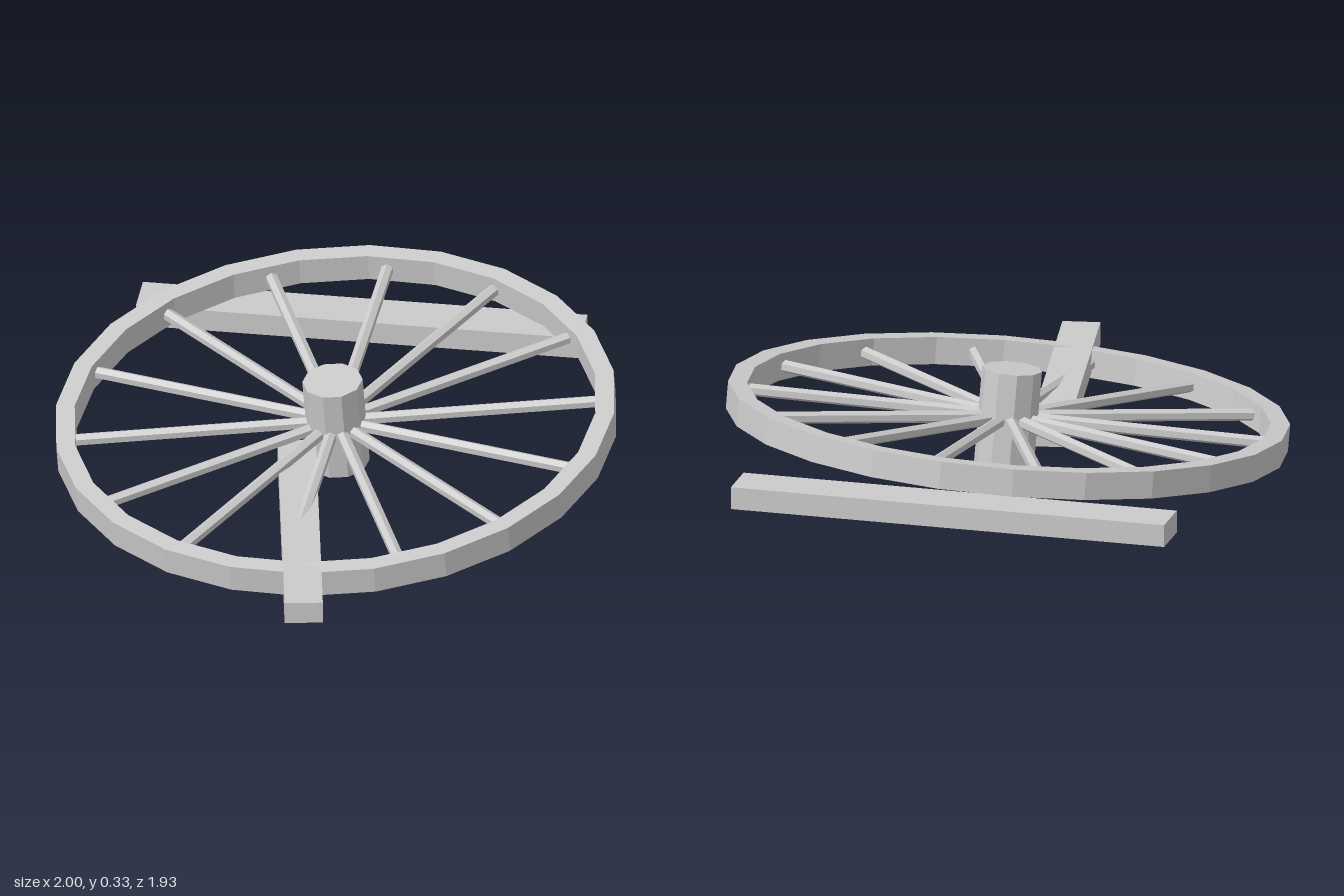
import * as THREE from 'three';

const material = new THREE.MeshStandardMaterial({ color: 0xcccccc, flatShading: true });

function addMesh(parent, name, geometry) {
  const mesh = new THREE.Mesh(geometry, material);
  mesh.name = name;
  parent.add(mesh);
  return mesh;
}

// Flat plank lying on the ground plane, its long side along (dx, dz)
function addPlank(parent, name, length, width, [x, y, z], [dx, dz]) {
  const plank = addMesh(parent, name, new THREE.BoxGeometry(length, 0.072, width));
  plank.position.set(x, y, z);
  plank.rotation.y = Math.atan2(-dz, dx);
}

export function createModel() {
  const model = new THREE.Group();
  model.name = 'brokenWagonWheel';

  // Wheel, lying tilted
  const wheel = new THREE.Group();
  wheel.name = 'wheel';
  wheel.position.set(-0.047, 0.167, 0.075);
  wheel.rotation.z = 0.119;
  model.add(wheel);

  // Rim with a rectangular section
  const outer = 0.885, inner = 0.825, half = 0.044;
  const section = [[outer, -half], [outer, half], [inner, half], [inner, -half], [outer, -half]];
  addMesh(wheel, 'rim', new THREE.LatheGeometry(section.map(p => new THREE.Vector2(...p)), 24));

  // Hub
  addMesh(wheel, 'hub', new THREE.CylinderGeometry(0.095, 0.095, 0.309, 10));

  // Spokes running from the hub into the rim
  const spokeLength = 0.84;
  const spokeGeometry = new THREE.CylinderGeometry(0.02, 0.02, spokeLength, 6);
  spokeGeometry.rotateY(Math.PI / 2);
  spokeGeometry.rotateZ(-Math.PI / 2);
  spokeGeometry.translate(spokeLength / 2, 0, 0);
  for (let i = 0; i < 14; i++) {
    addMesh(wheel, 'spoke', spokeGeometry).rotation.y = (i / 14) * Math.PI * 2;
  }

  // Loose planks under the wheel
  addPlank(model, 'longPlank', 1.41, 0.15, [0.594, 0.102, -0.312], [0.68, 1.235]);
  addPlank(model, 'shortPlank', 1.024, 0.12, [-0.562, 0.09, 0.326], [0.8, -0.637]);

  return model;
}
